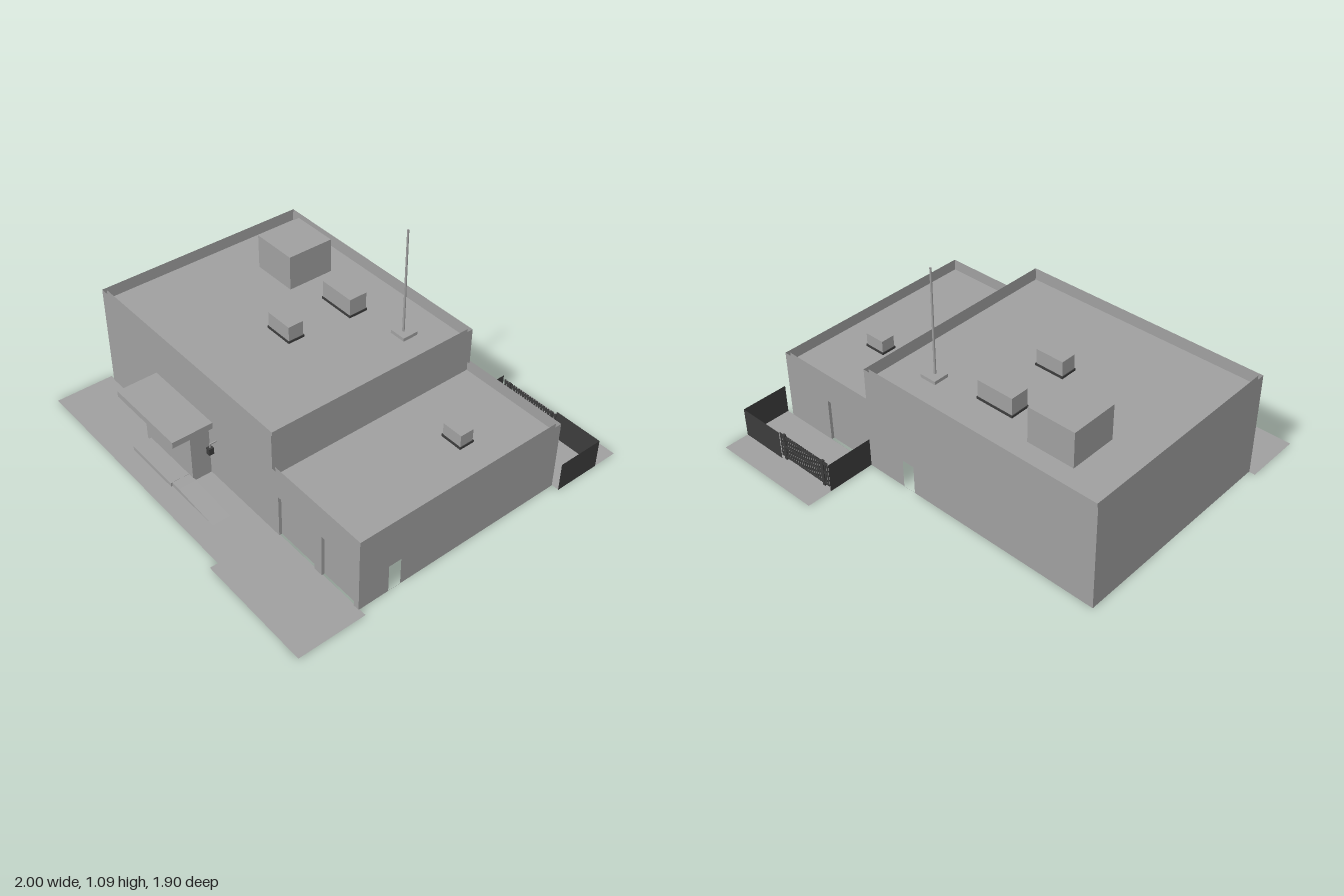
import * as THREE from 'three';

const grey = new THREE.MeshStandardMaterial({ color: 0xa0a0a0, side: THREE.DoubleSide });
grey.name = 'concrete grey';
const dark = new THREE.MeshStandardMaterial({ color: 0x3c3c3c, side: THREE.DoubleSide });
dark.name = 'dark metal';
const slab = new THREE.MeshStandardMaterial({ color: 0x9e9e9e });
slab.name = 'slab grey';

// Main block, lower wing and parapet inset
const X0 = -0.967, XM = 0.384, X1 = 0.961, Z0 = -0.566, Z1 = 0.6;
const H = 0.562, HW = 0.377, ROOF = 0.51, WROOF = 0.33, IN = 0.016;

export function createModel() {
  const model = new THREE.Group();
  model.name = 'building';

  const add = (name, geo, mat = grey, parent = model) => {
    const m = new THREE.Mesh(geo, mat);
    m.name = name;
    parent.add(m);
    return m;
  };
  const box = (name, x0, x1, y0, y1, z0, z1, mat = grey, parent = model) => {
    const m = add(name, new THREE.BoxGeometry(x1 - x0, y1 - y0, z1 - z0), mat, parent);
    m.position.set((x0 + x1) / 2, (y0 + y1) / 2, (z0 + z1) / 2);
    return m;
  };
  // Flat sheet from outline points with rectangular openings [a0, a1, top]
  const sheet = (pts, openings = []) => {
    const s = new THREE.Shape(pts.map(p => new THREE.Vector2(...p)));
    for (const [a0, a1, top] of openings) {
      s.holes.push(new THREE.Path([[a0, 0.001], [a0, top], [a1, top], [a1, 0.001]]
        .map(p => new THREE.Vector2(...p))));
    }
    return new THREE.ShapeGeometry(s);
  };
  const rect = (a0, a1, b0, b1) => [[a0, b0], [a1, b0], [a1, b1], [a0, b1]];
  const wallX = (name, pts, z, openings, mat) => {
    add(name, sheet(pts, openings), mat).position.z = z;
  };
  const wallZ = (name, pts, x, openings, mat) => {
    const m = add(name, sheet(pts, openings), mat);
    m.rotation.y = -Math.PI / 2;
    m.position.x = x;
  };
  const flat = (name, pts, y, mat) => {
    const m = add(name, sheet(pts), mat);
    m.rotation.x = Math.PI / 2;
    m.position.y = y;
  };

  // Outer walls
  const garages = [[0.42, 0.67, 0.235], [0.718, 0.93, 0.235]];
  const stepped = [[X0, 0], [X1, 0], [X1, HW], [XM, HW], [XM, H], [X0, H]];
  wallX('frontWall', stepped, Z1, garages);
  wallX('backWall', stepped, Z0, [[0.09, 0.16, 0.155], garages[0]]);
  wallZ('rightSideWall', rect(Z0, Z1, 0, H), X0);
  wallZ('middleWall', rect(Z0, Z1, 0, H), XM);
  wallZ('wingSideWall', rect(Z0, Z1, 0, HW), X1, [[0.37, 0.437, 0.15]]);

  // Inner parapet faces
  for (const z of [Z0 + IN, Z1 - IN]) {
    wallX('mainParapet', rect(X0 + IN, XM - IN, ROOF, H), z);
    wallX('wingParapet', rect(XM, X1 - IN, WROOF, HW), z);
  }
  for (const x of [X0 + IN, XM - IN]) wallZ('mainParapet', rect(Z0 + IN, Z1 - IN, ROOF, H), x);
  wallZ('wingParapet', rect(Z0 + IN, Z1 - IN, WROOF, HW), X1 - IN);

  // Roofs, wing floor and ground slabs
  flat('mainRoof', rect(X0 + IN, XM - IN, Z0 + IN, Z1 - IN), ROOF);
  flat('wingRoof', rect(XM, X1 - IN, Z0 + IN, Z1 - IN), WROOF);
  flat('wingFloor', rect(XM, X1 - IN, Z0 + IN, Z1 - IN), 0.001, slab);
  flat('frontApron', [[-1, 0.595], [1, 0.595], [1, 0.947], [XM, 0.947], [XM, 0.905], [-1, 0.905]], 0.001);
  flat('rearPad', rect(XM, 1, -0.953, -0.567), 0.001);

  // Recessed garage doors with their reveals
  const garage = (a0, a1, top, zOut, zIn) => {
    wallX('garageDoor', rect(a0, a1, 0, top), zIn);
    flat('garageLintel', rect(a0, a1, Math.min(zOut, zIn), Math.max(zOut, zIn)), top);
    for (const x of [a0, a1]) {
      wallZ('garageJamb', rect(Math.min(zOut, zIn), Math.max(zOut, zIn), 0, top), x);
    }
  };
  for (const g of garages) garage(...g, Z1, Z1 - IN);
  garage(...garages[0], Z0, Z0 + IN);

  // Entrance porch with step and access ramp
  box('porch', -0.488, -0.1, 0, 0.295, Z1, 0.703);
  box('canopy', -0.523, -0.064, 0.295, 0.328, Z1, 0.815);
  box('step', -0.455, -0.135, 0, 0.022, Z1, 0.803);
  const rampShape = new THREE.Shape([[-0.135, 0], [0.2, 0], [-0.08, 0.021], [-0.135, 0.021]]
    .map(p => new THREE.Vector2(...p)));
  add('ramp', new THREE.ExtrudeGeometry(rampShape, { depth: 0.095, bevelEnabled: false }))
    .position.z = 0.7;

  // Wall lamps
  for (const x of [-0.545, -0.043]) {
    const lamp = new THREE.Group();
    lamp.name = 'wallLamp';
    model.add(lamp);
    box('lampBody', x - 0.012, x + 0.012, 0.177, 0.213, 0.622, 0.648, dark, lamp);
    box('lampStem', x - 0.003, x + 0.003, 0.213, 0.235, 0.632, 0.638, grey, lamp);
    box('lampArm', x - 0.003, x + 0.003, 0.229, 0.235, Z1, 0.638, grey, lamp);
  }

  // Rooftop housing and ventilation units on dark curbs
  box('roofHousing', -0.71, -0.455, ROOF, 0.697, -0.405, -0.15);
  const units = [
    [-0.298, -0.095, -0.328, -0.228, ROOF, 0.612],
    [-0.275, -0.12, 0.034, 0.118, ROOF, 0.6],
    [0.652, 0.763, -0.217, -0.142, WROOF, 0.405]
  ];
  for (const [x0, x1, z0, z1, y, top] of units) {
    box('ventUnit', x0, x1, y + 0.012, top, z0, z1);
    box('ventCurb', x0 - 0.004, x1 + 0.004, y, y + 0.012, z0 - 0.004, z1 + 0.004, dark);
  }

  // Antenna mast
  box('mastBase', 0.114, 0.204, ROOF, 0.528, -0.387, -0.302);
  const mast = add('mast', new THREE.CylinderGeometry(0.005, 0.006, 0.56, 8));
  mast.position.set(0.159, 0.806, -0.34);

  // Rear yard fence
  wallZ('yardFenceSide', rect(-0.82, Z0, 0, 0.157), 1, [], dark);
  wallZ('yardFenceSide', rect(-0.82, Z0, 0, 0.157), XM + 0.001, [], dark);
  wallX('yardFenceBack', rect(0.735, 1, 0, 0.157), -0.82, [], dark);

  // Slatted sliding gate
  const gate = new THREE.Group();
  gate.name = 'gate';
  model.add(gate);
  for (const y of [0.015, 0.075, 0.13]) {
    box('gateRail', 0.405, 0.742, y, y + 0.012, -0.812, -0.807, dark, gate);
  }
  for (let i = 0; i <= 22; i++) {
    const x = 0.408 + i * 0.015;
    box('gateSlat', x - 0.0045, x + 0.0045, 0.012, 0.15, -0.811, -0.808, dark, gate);
  }
  for (const x of [0.44, 0.715]) {
    box('gatePost', x - 0.007, x + 0.007, 0, 0.15, -0.813, -0.801, dark, gate);
  }

  return model;
}
